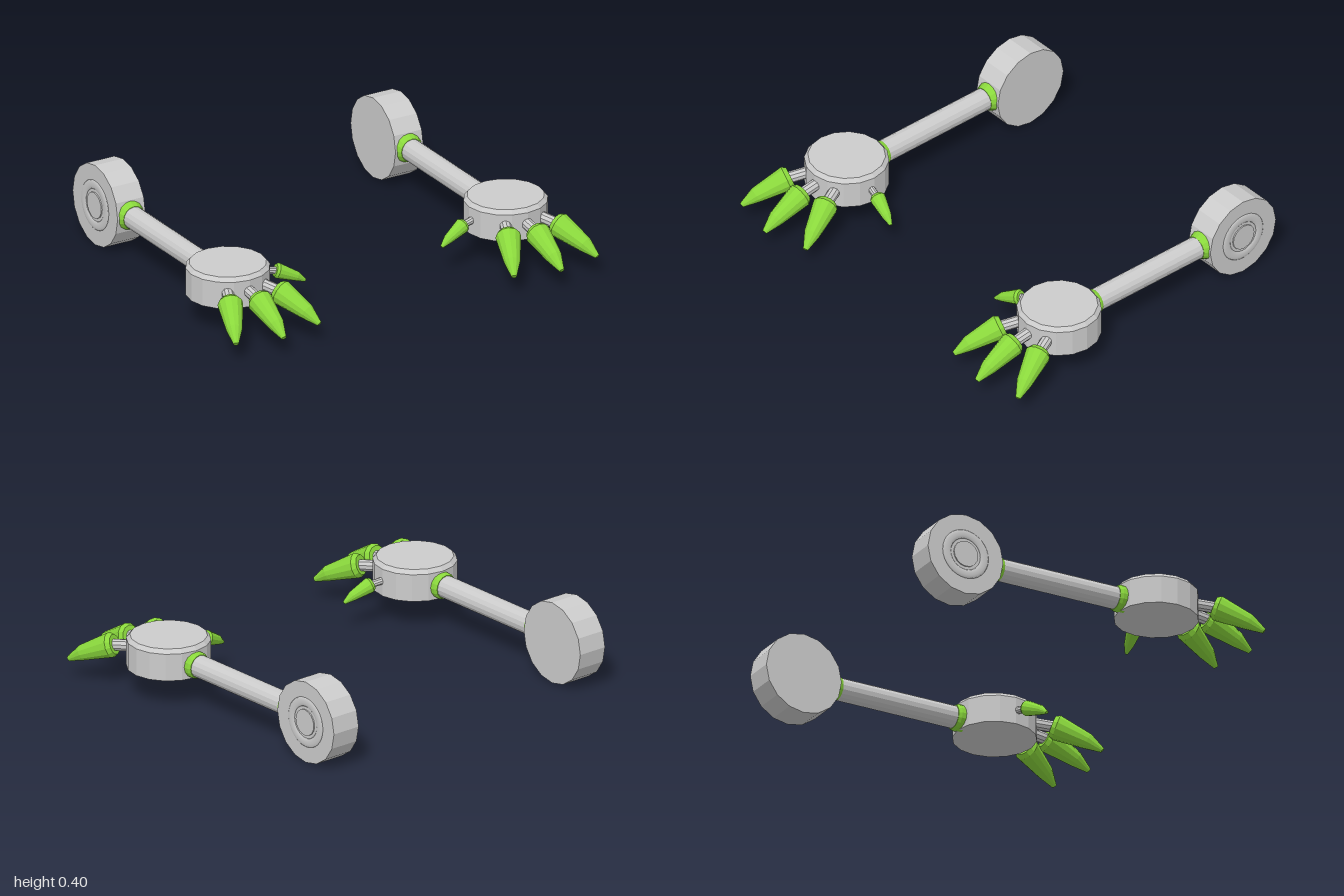
import * as THREE from 'three';

const grey = new THREE.MeshStandardMaterial({ color: 0xcccccc, flatShading: true });
const smoothGrey = new THREE.MeshStandardMaterial({ color: 0xcccccc });
const green = new THREE.MeshStandardMaterial({ color: 0x8ad83c, flatShading: true });

function add(parent, name, geometry, material, x = 0, y = 0, z = 0) {
  const mesh = new THREE.Mesh(geometry, material);
  mesh.name = name;
  mesh.position.set(x, y, z);
  parent.add(mesh);
  return mesh;
}

// Cylinder along z between two depths; r0 at the back, r1 at the front
function barrel(r0, r1, z0, z1, sides = 16) {
  return new THREE.CylinderGeometry(r1, r0, z1 - z0, sides).rotateX(Math.PI / 2).translate(0, 0, (z0 + z1) / 2);
}

// Bent claw: sections of [forward, height, radius, downward pitch]
function clawGeometry() {
  const sections = [
    [0, 0.21, 0.048, 0.35],
    [0.02, 0.203, 0.06, 0.35],
    [0.165, 0.14, 0.038, 0.5],
    [0.235, 0.097, 0.012, 0.62],
  ];
  const n = sections.length - 1;
  const g = new THREE.CylinderGeometry(1, 1, 1, 12, n);
  const p = g.attributes.position;
  for (let i = 0; i < p.count; i++) {
    const [f, h, r, pitch] = sections[Math.round((p.getY(i) + 0.5) * n)];
    const up = -p.getZ(i) * r;
    p.setXYZ(i, p.getX(i) * r, h + up * Math.cos(pitch), f + up * Math.sin(pitch));
  }
  g.computeVertexNormals();
  return g;
}

function finger(name, x, z, angle, scale) {
  const group = new THREE.Group();
  group.name = name;
  // Knuckle rod sloping slightly down into the claw
  const rod = add(group, 'knuckleRod', barrel(0.028, 0.028, -0.14, 0.02, 10), grey, 0, 0.207, 0);
  rod.rotation.x = 0.14;
  add(group, 'claw', clawGeometry(), green);
  group.position.set(x, 0.205 * (1 - scale), z);
  group.rotation.y = angle;
  group.scale.setScalar(scale);
  return group;
}

function createArm(s) {
  const arm = new THREE.Group();
  arm.name = s > 0 ? 'leftArm' : 'rightArm';
  arm.position.x = s * 0.75;

  // Shoulder wheel with a raised ring and hub on the outer face
  const wheel = new THREE.CylinderGeometry(0.2, 0.2, 0.15, 16).rotateZ(-Math.PI / 2);
  add(arm, 'shoulder', wheel, grey, 0, 0.202, -0.685);
  const ring = new THREE.TorusGeometry(0.1, 0.022, 10, 32).scale(1, 1, 0.25).rotateY(Math.PI / 2);
  add(arm, 'shoulderRing', ring, smoothGrey, s * 0.075, 0.202, -0.685);
  const hub = new THREE.CylinderGeometry(0.064, 0.064, 0.02, 16).rotateZ(-Math.PI / 2);
  add(arm, 'shoulderHub', hub, grey, s * 0.071, 0.202, -0.685);

  // Forearm and its two flared collars
  add(arm, 'forearm', barrel(0.054, 0.054, -0.52, 0.22), grey, 0, 0.204, 0);
  add(arm, 'shoulderCollar', barrel(0.07, 0.056, -0.495, -0.463), green, 0, 0.204, 0);
  add(arm, 'shoulderCollarBase', barrel(0.07, 0.07, -0.51, -0.495), green, 0, 0.204, 0);
  add(arm, 'wristCollar', barrel(0.057, 0.064, 0.15, 0.165), green, 0, 0.204, 0);
  add(arm, 'wristCollarBase', barrel(0.064, 0.064, 0.165, 0.2), green, 0, 0.204, 0);

  // Palm disc with a chamfered top
  const profile = [[0, 0.142], [0.197, 0.142], [0.197, 0.275], [0.18, 0.295], [0, 0.295]];
  const palm = new THREE.LatheGeometry(profile.map(([r, y]) => new THREE.Vector2(r, y)), 16);
  add(arm, 'palm', palm, grey, 0, 0, 0.372);

  // Three front fingers and an inward thumb
  arm.add(finger('middleFinger', 0, 0.638, 0, 1));
  arm.add(finger('outerFinger', s * 0.129, 0.603, s * 0.42, 1));
  arm.add(finger('innerFinger', s * -0.129, 0.603, s * -0.42, 1));
  arm.add(finger('thumb', s * -0.24, 0.397, s * -1.33, 0.62));
  return arm;
}

export function createModel() {
  const model = new THREE.Group();
  model.name = 'clawArms';
  for (const s of [1, -1]) model.add(createArm(s));
  return model;
}
